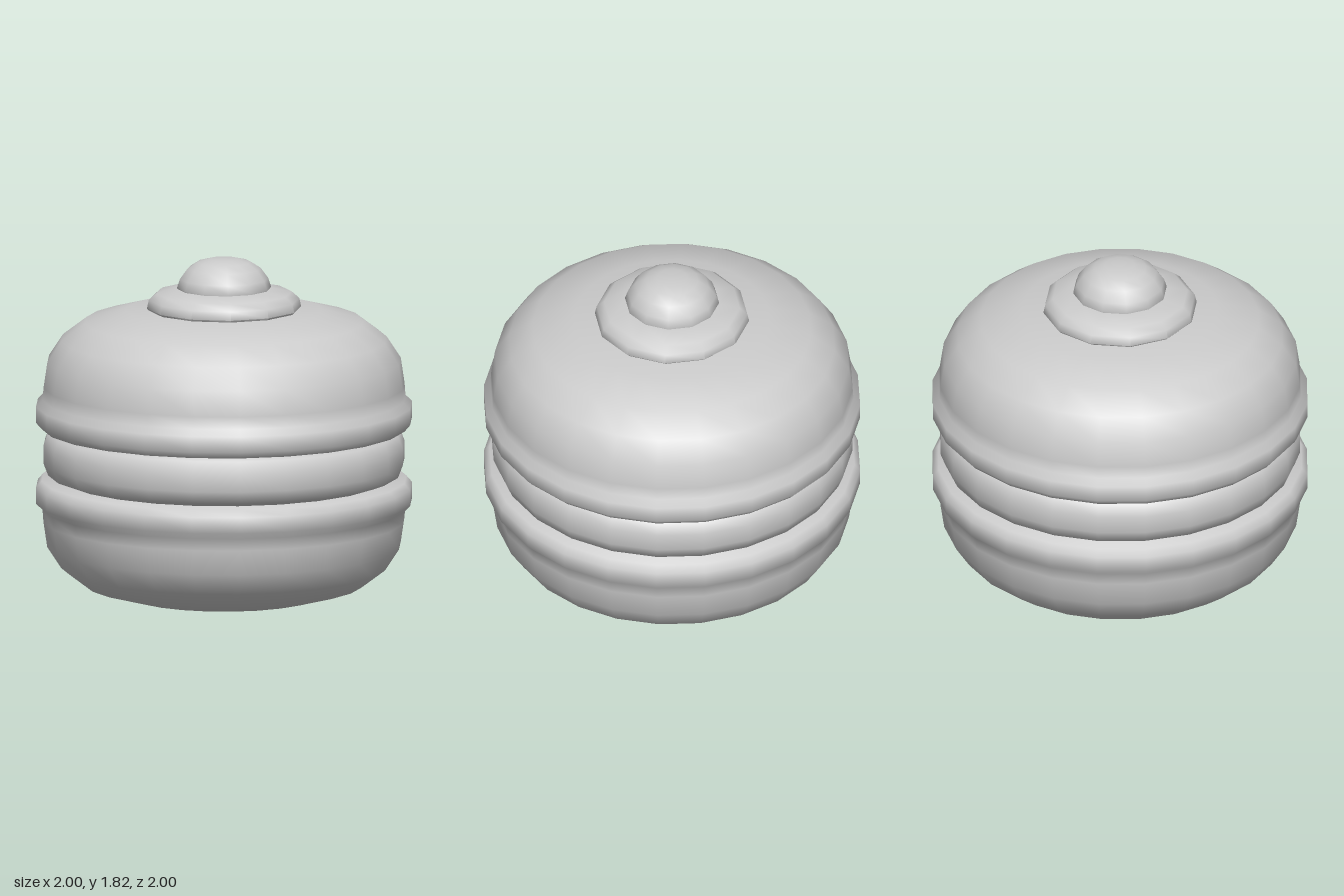
import * as THREE from 'three';
import { toCreasedNormals } from 'three/addons/utils/BufferGeometryUtils.js';

const material = new THREE.MeshStandardMaterial({ color: 0xcccccc });

// Turned part; profile is [radius, height] from bottom to top
function turned(name, profile, sides) {
  const points = profile.map(([r, y]) => new THREE.Vector2(r, y));
  const geometry = toCreasedNormals(new THREE.LatheGeometry(points, sides), THREE.MathUtils.degToRad(62));
  const mesh = new THREE.Mesh(geometry, material);
  mesh.name = name;
  return mesh;
}

export function createModel() {
  const group = new THREE.Group();
  group.name = 'macaron';

  // Shell: rounded cap with a bulging foot around its open edge
  const shell = [
    [0, 0], [0.52, 0.015], [0.74, 0.075], [0.865, 0.17], [0.94, 0.285],
    [0.96, 0.42], [0.965, 0.485], [1, 0.52], [1, 0.605], [0.97, 0.64], [0, 0.64],
  ];
  // The upper shell is the lower one turned over
  const upperShell = shell.map(([r, y]) => [r, 1.56 - y]).reverse();
  group.add(turned('lowerShell', shell, 24));
  group.add(turned('upperShell', upperShell, 24));

  // Cream between the shells
  group.add(turned('filling', [
    [0.8, 0.635], [0.87, 0.645], [0.935, 0.67], [0.96, 0.735],
    [0.96, 0.83], [0.935, 0.895], [0.87, 0.92], [0.8, 0.925],
  ], 24));

  // Topping: a flat dollop with a small dome on it
  group.add(turned('dollop', [
    [0.38, 1.53], [0.41, 1.56], [0.4, 1.605], [0.36, 1.64], [0.25, 1.662], [0, 1.665],
  ], 12));
  group.add(turned('knob', [
    [0.24, 1.64], [0.25, 1.67], [0.235, 1.715], [0.195, 1.77], [0.14, 1.805], [0.08, 1.82], [0, 1.822],
  ], 12));

  return group;
}
